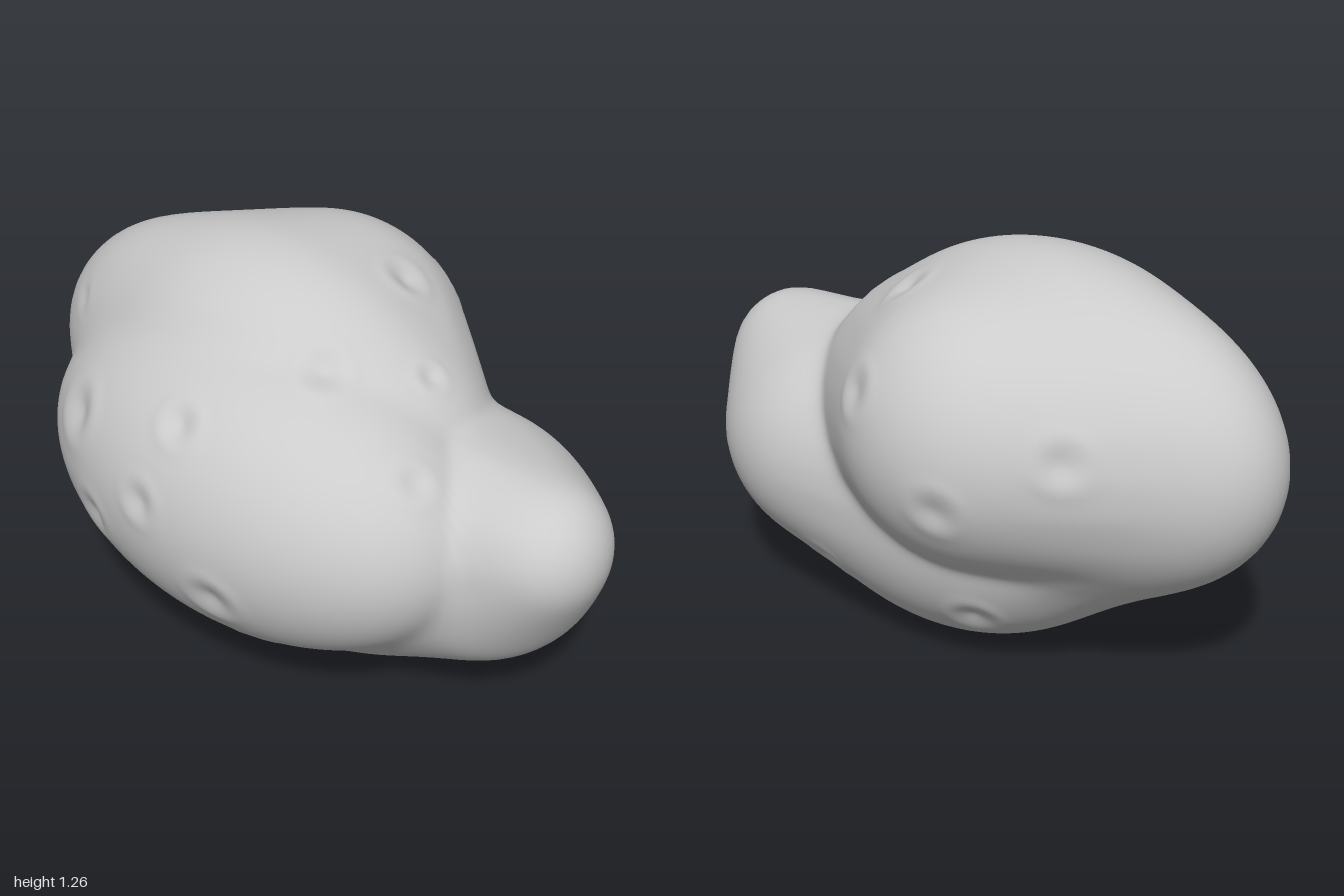
import * as THREE from 'three';
import { mergeVertices } from 'three/addons/utils/BufferGeometryUtils.js';

const CORE = new THREE.Vector3(0, 0.62, 0);

// Each mass is the rounded skin stretched over a few ellipsoids: centre, radii
const NOSE = [[-0.36, 0.735, 0], [0.64, 0.465, 0.35]];
const UNDERSIDE = [[0.05, 0.462, -0.04], [0.6, 0.445, 0.415]];
const MASSES = [
  [ // upper mass: nose, crown, back, right slope
    NOSE,
    [[-0.22, 0.8, -0.02], [0.62, 0.46, 0.44]],
    [[-0.2, 0.79, -0.22], [0.45, 0.43, 0.435]],
    [[0, 0.68, -0.02], [0.55, 0.46, 0.44]],
  ],
  [ // front bulge
    [[-0.07, 0.62, 0.19], [0.76, 0.475, 0.46]],
    UNDERSIDE,
  ],
  [NOSE, UNDERSIDE], // lower left flank
  [ // right horn: tip, root
    [[0.8, 0.66, -0.02], [0.2, 0.21, 0.21]],
    [[0.45, 0.5, -0.1], [0.46, 0.37, 0.38]],
    UNDERSIDE,
  ],
];

// Craters: a point near the surface, then the radius
const CRATERS = [
  [-0.47, 0.79, 0.5, 0.11], [-0.13, 0.71, 0.64, 0.08], [-0.07, 0.95, 0.53, 0.08],
  [-0.37, 0.53, 0.6, 0.09], [0.12, 0.48, 0.6, 0.1], [0.15, 0.25, 0.45, 0.07],
  [-0.7, 0.9, 0.2, 0.06], [0.08, 1.1, -0.24, 0.09], [0.33, 0.98, -0.04, 0.06],
  [0.2, 1.12, 0.22, 0.09], [0.47, 0.85, 0.2, 0.07], [0.85, 0.46, -0.28, 0.09],
  [0.05, 0, -0.06, 0.05], [0, 0.95, -0.58, 0.09], [-0.35, 0.7, -0.66, 0.09],
  [-0.6, 0.85, -0.42, 0.09], [-0.2, 0.25, -0.3, 0.09], [0.35, 0.2, -0.4, 0.08],
];

// Evenly spread directions for the planes that wrap each mass
const COUNT = 4000;
const NORMALS = Array.from({ length: COUNT }, (_, i) => {
  const y = 1 - (2 * i + 1) / COUNT;
  const s = Math.sqrt(1 - y * y), turn = i * Math.PI * (3 - Math.sqrt(5));
  return [s * Math.cos(turn), y, s * Math.sin(turn)];
});

// Distance from the core to every wrapping plane of a mass
const wrap = (mass) => NORMALS.map(([x, y, z]) => Math.max(...mass.map(([c, r]) =>
  (c[0] - CORE.x) * x + (c[1] - CORE.y) * y + (c[2] - CORE.z) * z +
  Math.hypot(r[0] * x, r[1] * y, r[2] * z))));
const WRAPS = MASSES.map(wrap);

// Smooth minimum of the distances to the wrapping planes along a direction
function reach(dir, planes) {
  const q = 300, hits = [];
  let nearest = Infinity;
  for (let i = 0; i < COUNT; i++) {
    const n = NORMALS[i];
    const facing = n[0] * dir.x + n[1] * dir.y + n[2] * dir.z;
    if (facing < 0.1) continue;
    const hit = planes[i] / facing;
    if (hit < nearest) nearest = hit;
    if (hit < nearest * 1.04) hits.push(hit);
  }
  let sum = 0;
  for (const hit of hits) sum += (nearest / hit) ** q;
  return nearest * (sum * 2 * q / COUNT) ** (-1 / q);
}

// Smooth maximum of all masses
function surface(dir) {
  const p = 36;
  let sum = 0;
  for (const planes of WRAPS) sum += reach(dir, planes) ** p;
  return dir.clone().multiplyScalar(sum ** (1 / p)).add(CORE);
}

export function createModel() {
  let geo = new THREE.SphereGeometry(1, 180, 120);
  geo.deleteAttribute('uv');
  geo.deleteAttribute('normal');
  geo = mergeVertices(geo, 1e-5);

  const craters = CRATERS.map(([x, y, z, size]) => ({
    at: surface(new THREE.Vector3(x, y, z).sub(CORE).normalize()), size,
  }));

  const pos = geo.attributes.position;
  for (let i = 0; i < pos.count; i++) {
    const dir = new THREE.Vector3().fromBufferAttribute(pos, i).normalize();
    const point = surface(dir);
    // Bowl with a faint raised rim
    let push = 0;
    for (const { at, size } of craters) {
      const t = point.distanceTo(at) / size;
      if (t < 2) push += size * (0.04 * Math.exp(-(((t - 0.9) / 0.25) ** 2)) - 0.18 * Math.exp(-5 * t * t));
    }
    point.addScaledVector(dir, push);
    pos.setXYZ(i, point.x, point.y, point.z);
  }
  geo.computeVertexNormals();

  const rock = new THREE.Mesh(geo, new THREE.MeshStandardMaterial({ color: 0xcccccc }));
  rock.name = 'crateredRock';
  const group = new THREE.Group();
  group.name = 'asteroid';
  group.add(rock);
  return group;
}
